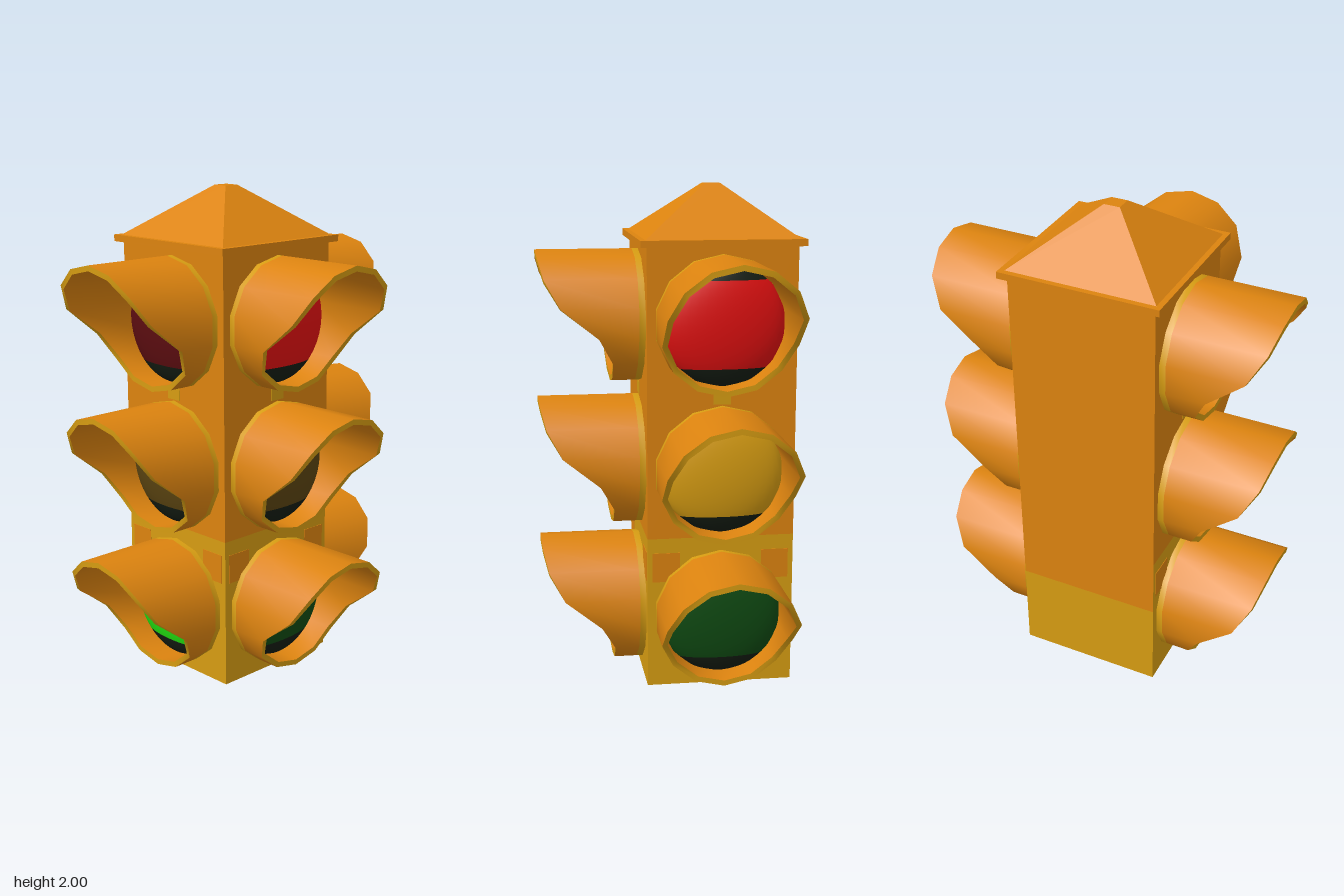
import * as THREE from 'three';

const mat = (name, color) => new THREE.MeshStandardMaterial({ name, color });

export function createModel() {
  const orange = mat('orange paint', 0xdc830f);
  const yellow = mat('yellow paint', 0xd69c12);
  const red = mat('lit red', 0xe01010);
  const darkRed = mat('unlit red', 0x5c0d10);
  const darkAmber = mat('unlit amber', 0x5a4310);
  const green = mat('lit green', 0x22e010);
  const darkGreen = mat('unlit green', 0x0f4a12);
  const black = mat('lens shadow', 0x141c12);

  const model = new THREE.Group();
  model.name = 'trafficLight';
  const tower = new THREE.Group();
  tower.name = 'tower';
  tower.position.x = -0.195;
  model.add(tower);

  const add = (parent, name, geometry, material, x = 0, y = 0, z = 0) => {
    const mesh = new THREE.Mesh(geometry, material);
    mesh.name = name;
    mesh.position.set(x, y, z);
    parent.add(mesh);
    return mesh;
  };

  // Housing, in three stacked sections (sides: +x, -x, +y, -y, +z, -z)
  const HALF = 0.295;
  const section = (name, y0, y1, material) =>
    add(tower, name, new THREE.BoxGeometry(HALF * 2, y1 - y0, HALF * 2), material, 0, (y0 + y1) / 2);
  section('housingBase', 0, 0.37, [yellow, yellow, yellow, orange, yellow, yellow]);
  section('housingLower', 0.37, 0.62, [yellow, orange, yellow, orange, yellow, yellow]);
  section('housingUpper', 0.62, 1.775, orange);

  // Eave plate and hipped roof
  add(tower, 'eave', new THREE.BoxGeometry(0.645, 0.027, 0.645), orange, 0, 1.7865);
  let roof = new THREE.CylinderGeometry(0.032 * Math.SQRT2, 0.3 * Math.SQRT2, 0.2, 4);
  roof.rotateY(Math.PI / 4);
  roof = roof.toNonIndexed();
  roof.computeVertexNormals();
  add(tower, 'roof', roof, orange, 0, 1.9);

  // Visor: rings of 14 points, numbered clockwise from the top
  const SIDES = 14, OUTER = 0.267, INNER = 0.245;
  const reach = [0.412, 0.407, 0.387, 0.327, 0.18, 0.122, 0.118, 0.116];
  const ring = (radius, depth) => Array.from({ length: SIDES }, (_, i) => {
    const a = (i / SIDES) * Math.PI * 2;
    return [radius * Math.sin(a), radius * Math.cos(a), depth(Math.min(i, SIDES - i))];
  });
  const strip = (ringA, ringB) => {
    const index = [];
    for (let i = 0; i < SIDES; i++) {
      const j = (i + 1) % SIDES;
      index.push(i, i + SIDES, j, j, i + SIDES, j + SIDES);
    }
    const g = new THREE.BufferGeometry();
    g.setAttribute('position', new THREE.Float32BufferAttribute([...ringA, ...ringB].flat(), 3));
    g.setIndex(index);
    g.computeVertexNormals();
    return g;
  };
  const lip = (i) => reach[i];
  const rootOuter = ring(OUTER, () => 0), collarOuter = ring(OUTER, () => 0.025);
  const lipOuter = ring(OUTER, lip), lipInner = ring(INNER, lip), rootInner = ring(INNER, () => 0);
  const visorParts = [
    ['visorCollar', strip(rootOuter, collarOuter), yellow],
    ['visorShell', strip(collarOuter, lipOuter), orange],
    ['visorRim', strip(lipOuter, lipInner), yellow],
    ['visorInside', strip(lipInner, rootInner), orange],
  ];

  // Domed lens: coloured middle band between two dark caps
  const lensBand = (from, to) => new THREE
    .SphereGeometry(INNER, 20, 10, 0, Math.PI, from, to - from).scale(1, 1, 0.3);
  const CAP = 0.8;
  const lensMiddle = lensBand(CAP, Math.PI - CAP);
  const lensTop = lensBand(0, CAP);
  const lensBottom = lensBand(Math.PI - CAP, Math.PI);

  // Three faces with lamps, listed from bottom to top
  const faces = [
    ['frontLamps', 0, [green, darkAmber, darkRed]],
    ['leftLamps', Math.PI / 2, [darkGreen, darkAmber, red]],
    ['backLamps', Math.PI, [darkGreen, yellow, red]],
  ];
  for (const [name, turn, lenses] of faces) {
    const face = new THREE.Group();
    face.name = name;
    face.rotation.y = turn;
    tower.add(face);
    lenses.forEach((lens, i) => {
      const lamp = new THREE.Group();
      lamp.name = 'lamp';
      lamp.position.set(0, 0.298 + i * 0.59, HALF);
      face.add(lamp);
      for (const [part, geometry, material] of visorParts) add(lamp, part, geometry, material);
      add(lamp, 'lens', lensMiddle, lens);
      add(lamp, 'lensTop', lensTop, black);
      add(lamp, 'lensBottom', lensBottom, black);
    });
    // Painted patches beside the lowest lamp and between the upper ones
    for (const side of [-1, 1])
      add(face, 'paintPatch', new THREE.BoxGeometry(0.11, 0.12, 0.004), orange, side * 0.22, 0.5, HALF);
    add(face, 'paintSpot', new THREE.BoxGeometry(0.07, 0.05, 0.004), yellow, 0, 1.185, HALF);
  }
  return model;
}
